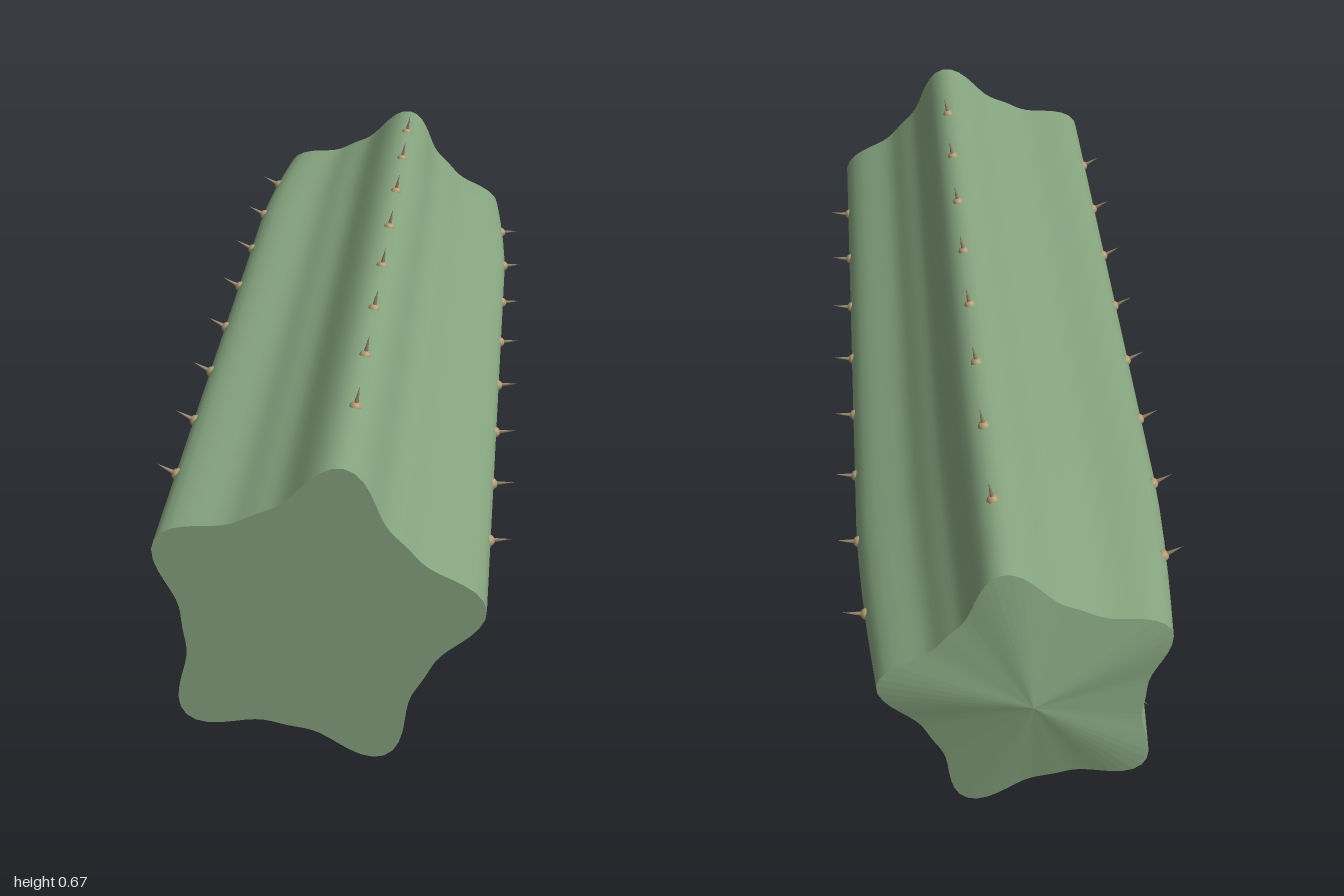
import * as THREE from 'three';

const CX = -0.022, CY = 0.322;          // axis of the stem
const START = THREE.MathUtils.degToRad(6.8);
const RIBS = 5, SEGS = 100;
const VALLEY = 0.232, RIB = 0.082;

// Star-like section: rounded ribs with broad shallow valleys
const radius = (a) => VALLEY + RIB * Math.pow((1 + Math.cos(RIBS * a)) / 2, 2);

// Stem narrows gently towards the back end
const taper = (z) => 1 - 0.09 * Math.pow(Math.max(0, (-0.5 - z) / 0.46), 1.6);

function ring(z) {
  const pts = [];
  for (let i = 0; i < SEGS; i++) {
    const a = (i / SEGS) * Math.PI * 2;
    const r = radius(a) * taper(z);
    pts.push(r * Math.cos(a + START), r * Math.sin(a + START), z);
  }
  return pts;
}

function buildGeometry(positions, index) {
  const g = new THREE.BufferGeometry();
  g.setAttribute('position', new THREE.Float32BufferAttribute(positions, 3));
  g.setIndex(index);
  g.computeVertexNormals();
  return g;
}

// Ribbed side wall lofted through rings from front to back
function wallGeometry() {
  const stations = [1, 0, -0.5, -0.6, -0.7, -0.8, -0.88, -0.96];
  const pos = stations.flatMap(ring), idx = [];
  for (let s = 0; s < stations.length - 1; s++) {
    for (let i = 0; i < SEGS; i++) {
      const j = (i + 1) % SEGS;
      const a = s * SEGS + i, b = s * SEGS + j;
      const c = a + SEGS, d = b + SEGS;
      idx.push(a, c, b, b, c, d);
    }
  }
  return buildGeometry(pos, idx);
}

// Fan closing one end, with its hub at hubZ
function capGeometry(z, hubZ, facesFront) {
  const pos = [...ring(z), 0, 0, hubZ], idx = [];
  for (let i = 0; i < SEGS; i++) {
    const j = (i + 1) % SEGS;
    idx.push(SEGS, facesFront ? i : j, facesFront ? j : i);
  }
  return buildGeometry(pos, idx);
}

export function createModel() {
  const model = new THREE.Group();
  model.name = 'ribbedStem';
  const green = new THREE.MeshStandardMaterial({ color: 0x86a47f });
  const greenFlat = new THREE.MeshStandardMaterial({ color: 0x86a47f, flatShading: true });
  const tan = new THREE.MeshStandardMaterial({ color: 0xb09a72 });
  const brown = new THREE.MeshStandardMaterial({ color: 0x8f7f66 });

  const add = (parent, name, geometry, material) => {
    const mesh = new THREE.Mesh(geometry, material);
    mesh.name = name;
    parent.add(mesh);
    return mesh;
  };

  const stem = new THREE.Group();
  stem.name = 'stem';
  stem.position.set(CX, CY, 0);
  model.add(stem);
  add(stem, 'stemWall', wallGeometry(), green);
  add(stem, 'frontCut', capGeometry(1, 1, true), greenFlat);
  add(stem, 'backPoint', capGeometry(-0.96, -1, false), greenFlat);

  // Areoles with one outward spine each, in a row along every rib
  const budGeo = new THREE.SphereGeometry(0.0118, 12, 8);
  const spineGeo = new THREE.ConeGeometry(0.0055, 0.044, 8);
  spineGeo.translate(0, 0.022, 0);
  for (let k = 0; k < RIBS; k++) {
    const a = START + (k / RIBS) * Math.PI * 2;
    const row = new THREE.Group();
    row.name = 'spineRow';
    row.rotation.z = a - Math.PI / 2;   // local +y points out along the rib
    stem.add(row);
    for (let n = 0; n < 8; n++) {
      const z = 0.76 - n * (1.52 / 7);
      const r = 0.31 * taper(z);
      add(row, 'areole', budGeo, tan).position.set(0, r, z);
      add(row, 'spine', spineGeo, brown).position.set(0, r, z);
    }
  }
  return model;
}
